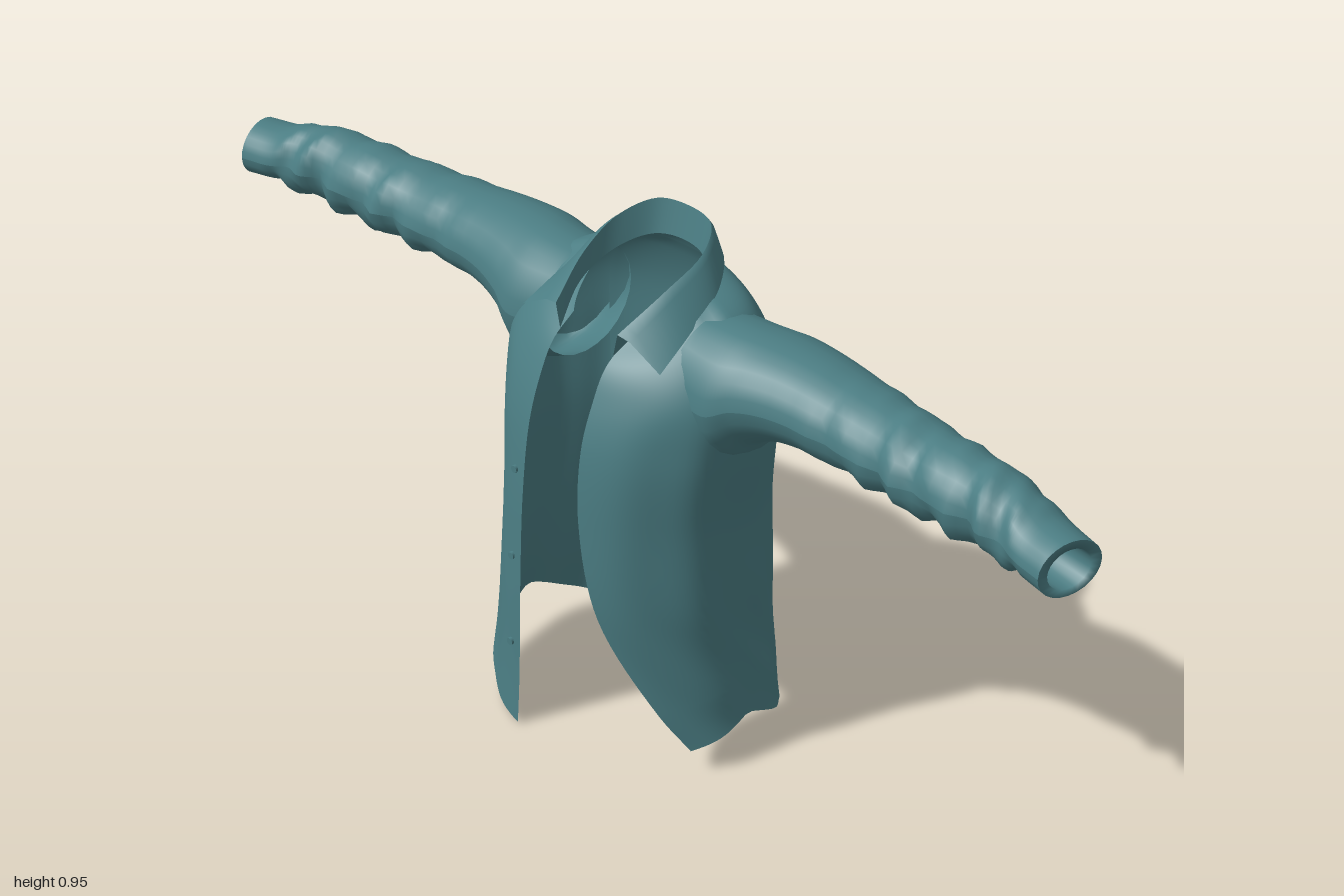
import * as THREE from 'three';

const V = (x, y, z) => new THREE.Vector3(x, y, z);
const lerp = THREE.MathUtils.lerp;

// Smooth surface through rows of points; quads for which skip() is true are left out
function grid(rows, skip = () => false) {
  const n = rows[0].length, pos = [], index = [];
  rows.forEach(r => r.forEach(p => pos.push(p.x, p.y, p.z)));
  for (let i = 0; i < rows.length - 1; i++) {
    for (let j = 0; j < n - 1; j++) {
      if (skip(rows[i][j])) continue;
      const a = i * n + j, b = a + n;
      index.push(a, b, a + 1, b, b + 1, a + 1);
    }
  }
  const g = new THREE.BufferGeometry();
  g.setAttribute('position', new THREE.Float32BufferAttribute(pos, 3));
  g.setIndex(index);
  g.computeVertexNormals();
  return g;
}

const spline = (pts, n) => new THREE.CatmullRomCurve3(pts, false, 'centripetal').getPoints(n);

// Body rings, hem to neck: half width, front z, back z, centre z, y at front / side / back, left edge x
const RINGS = [
  [0.283, 0.217, -0.213, -0.02, 0.0, 0.09, 0.0, 0.25],
  [0.27, 0.212, -0.21, -0.02, 0.1, 0.17, 0.1, 0.205],
  [0.257, 0.207, -0.206, -0.02, 0.3, 0.31, 0.3, 0.112],
  [0.25, 0.198, -0.205, -0.02, 0.48, 0.48, 0.48, 0.07],
  [0.26, 0.178, -0.207, -0.02, 0.62, 0.63, 0.63, 0.06],
  [0.255, 0.15, -0.2, -0.03, 0.7, 0.755, 0.75, 0.06],
  [0.2, 0.122, -0.175, -0.04, 0.755, 0.835, 0.835, 0.06],
  [0.1, 0.098, -0.148, -0.03, 0.783, 0.862, 0.885, 0.065],
];

function bodyPoint(ring, u, k) {
  const [W, zF, zB, cz, yF, yS, yB, left] = ring;
  const start = -Math.asin((k === 7 ? 0.065 : 0.07) / W);
  const end = -2 * Math.PI + Math.asin(left / W);
  const a = lerp(start, end, u), s = Math.sin(a), c = Math.cos(a);
  const e = c < 0 ? 0.8 : 1;
  const f = Math.pow(Math.abs(c), e);
  // gentle hanging folds
  const fold = 1 + (k < 5 ? 0.012 * Math.sin(11 * a + k * 0.5) * Math.abs(s) : 0);
  return V(
    W * Math.sign(s) * Math.pow(Math.abs(s), e) * fold,
    lerp(yS, c > 0 ? yF : yB, Math.pow(Math.abs(c), 0.9)),
    cz + ((c > 0 ? zF : zB) - cz) * f * fold);
}

// Sleeve stations: x, top y, bottom y, back z, front z
const SLEEVE = [
  [0.16, 0.842, 0.63, -0.162, 0.06],
  [0.24, 0.844, 0.6, -0.175, 0.065],
  [0.29, 0.842, 0.648, -0.177, 0.05],
  [0.36, 0.838, 0.675, -0.171, 0.033],
  [0.5, 0.825, 0.68, -0.157, 0.02],
  [0.65, 0.822, 0.68, -0.134, 0.025],
  [0.8, 0.823, 0.685, -0.11, 0.028],
  [0.87, 0.815, 0.69, -0.095, 0.035],
  [0.92, 0.796, 0.695, -0.082, 0.043],
  [0.985, 0.792, 0.69, -0.067, 0.053],
];
const CUFF_INNER = [[0.985, 0.778, 0.705, -0.046, 0.036], [0.88, 0.778, 0.705, -0.055, 0.03]];

function sleeveGeometry(side) {
  const at = ([x, t, b, zb, zf], a) => {
    const dz = (zf - zb) / 2 * Math.cos(a);
    const slant = x > 0.9 ? 0.25 : 0;
    return V(x - dz * slant, (t + b) / 2 + (t - b) / 2 * Math.sin(a), (zb + zf) / 2 + dz);
  };
  const columns = [];
  for (let i = 0; i <= 24; i++) {
    const a = (i % 24) / 24 * Math.PI * 2;
    const outer = spline(SLEEVE.map(s => at(s, a)), 70);
    // wrinkles gather on the front and underside towards the cuff
    outer.forEach(p => {
      const w = THREE.MathUtils.smoothstep(p.x, 0.35, 0.65) * (1 - THREE.MathUtils.smoothstep(p.x, 0.88, 0.93));
      const h = w * 0.007 * (Math.sin(p.x * 62 + 2 * Math.sin(a)) + 0.6 * Math.sin(p.x * 97 - 3 * Math.cos(a)))
        * (0.65 + 0.35 * Math.cos(a + 0.6));
      p.y += h * Math.sin(a);
      p.z += h * Math.cos(a);
    });
    const lip = outer[outer.length - 1];
    const col = [...outer, lip.clone(), ...CUFF_INNER.map(s => at(s, a))];
    col.forEach(p => { p.x *= side; });
    columns.push(col);
  }
  return grid(side > 0 ? columns : columns.reverse());
}

// Half of a collar line from the front corner to the back centre, mirrored into a whole one
function collarLine(pts) {
  const half = pts.map(p => V(...p));
  const other = half.slice(0, -1).reverse().map(p => V(-p.x, p.y, p.z));
  return spline([...half, ...other], 48);
}

export function createModel() {
  const cloth = new THREE.MeshStandardMaterial({ color: 0x4b7d83, side: THREE.DoubleSide });
  cloth.name = 'teal cloth';
  const shirt = new THREE.Group();
  shirt.name = 'openShirt';
  const add = (name, geometry) => {
    const mesh = new THREE.Mesh(geometry, cloth);
    mesh.name = name;
    shirt.add(mesh);
    return mesh;
  };

  // Body: columns run from hem to neck, from the right front edge round the back to the left
  const N = 96, columns = [];
  for (let i = 0; i <= N; i++) columns.push(spline(RINGS.map((r, k) => bodyPoint(r, i / N, k)), 56));
  const armhole = p => Math.abs(p.x) > 0.17 && Math.hypot(p.y - 0.745, p.z + 0.025) < 0.06;
  add('body', grid(columns.slice().reverse(), armhole));

  // Back lining, ending above the hem
  const lining = columns.filter(c => c[20].z < -0.15)
    .map(c => c.slice(14, 54).map(p => V(p.x * 0.97, p.y, p.z + 0.012)));
  add('backLining', grid(lining));

  // Sleeves with hollow cuffs
  add('leftSleeve', sleeveGeometry(1));
  add('rightSleeve', sleeveGeometry(-1));

  // Collar: stand rising from the neck, and leaf folded down to the points
  const foot = collarLine([[0.065, 0.78, 0.1], [0.088, 0.835, 0.03], [0.09, 0.865, -0.06], [0.06, 0.88, -0.12], [0, 0.885, -0.135]]);
  const top = collarLine([[0.075, 0.825, 0.1], [0.098, 0.882, 0.01], [0.1, 0.92, -0.075], [0.065, 0.943, -0.132], [0, 0.946, -0.148]]);
  const leaf = collarLine([[0.167, 0.782, 0.09], [0.155, 0.828, 0.0], [0.135, 0.864, -0.08], [0.075, 0.888, -0.15], [0, 0.89, -0.167]]);
  add('collarStand', grid([foot, top]));
  const roll = top.map((p, i) => p.clone().lerp(leaf[i], 0.3).add(V(0, 0.008, 0)));
  add('collarLeaf', grid([top, roll, leaf]));

  // Buttons down the right front edge
  for (const y of [0.16, 0.34, 0.515]) {
    const p = columns[2].reduce((a, b) => Math.abs(b.y - y) < Math.abs(a.y - y) ? b : a);
    const button = add('button', new THREE.CylinderGeometry(0.007, 0.007, 0.006, 10));
    button.rotation.x = Math.PI / 2;
    button.position.set(p.x, y, p.z + 0.003);
  }
  return shirt;
}
